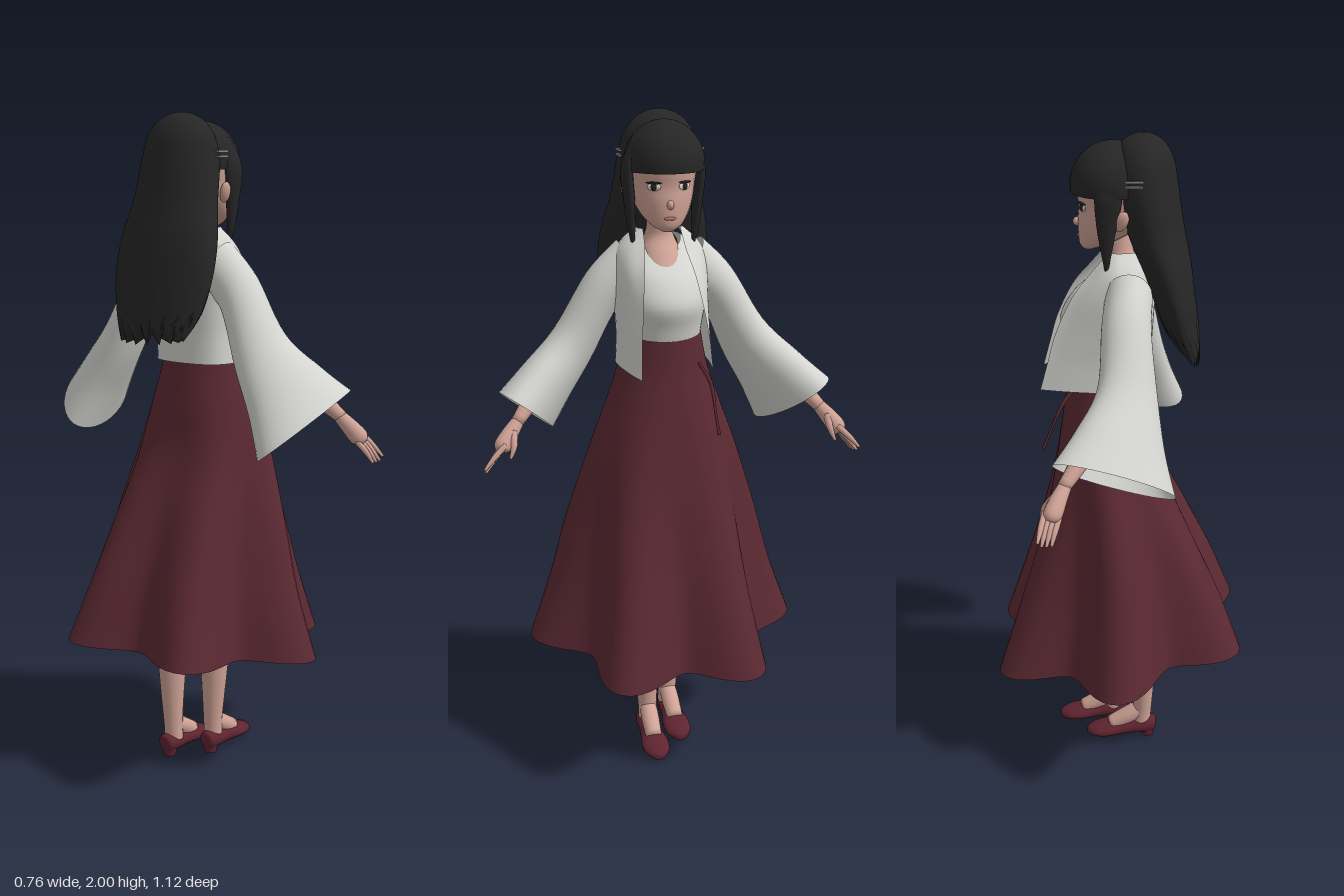
import * as THREE from 'three';

const mat = (name, color, double) => {
  const m = new THREE.MeshStandardMaterial({ color });
  m.name = name;
  if (double) m.side = THREE.DoubleSide;
  return m;
};
const V = (x, y, z) => new THREE.Vector3(x, y, z);

// Catmull-Rom smoothing of rows of numbers
function smooth(rows, steps = 5) {
  const out = [], at = i => rows[Math.max(0, Math.min(rows.length - 1, i))];
  for (let i = 0; i < rows.length - 1; i++) {
    for (let k = 0; k < steps; k++) {
      const t = k / steps;
      out.push(rows[i].map((b, j) => {
        const a = at(i - 1)[j], c = at(i + 1)[j], d = at(i + 2)[j];
        return b + 0.5 * t * (c - a + t * (2 * a - 5 * b + 4 * c - d + t * (3 * (b - c) + d - a)));
      }));
    }
  }
  out.push(rows[rows.length - 1]);
  return out;
}

// Skin through rings of points; closed rings share their seam vertex
function loft(rings, closed = true, caps = true) {
  const n = rings[0].length, pos = [], idx = [];
  rings.forEach(r => r.forEach(p => pos.push(p.x, p.y, p.z)));
  for (let i = 0; i < rings.length - 1; i++) {
    for (let j = 0; j < (closed ? n : n - 1); j++) {
      const a = i * n + j, b = i * n + (j + 1) % n;
      idx.push(a, a + n, b, b, a + n, b + n);
    }
  }
  if (closed && caps) {
    [0, rings.length - 1].forEach((ri, end) => {
      const c = rings[ri].reduce((s, p) => s.add(p), V(0, 0, 0)).divideScalar(n);
      const ci = pos.length / 3;
      pos.push(c.x, c.y, c.z);
      for (let j = 0; j < n; j++) {
        const a = ri * n + j, b = ri * n + (j + 1) % n;
        end ? idx.push(ci, b, a) : idx.push(ci, a, b);
      }
    });
  }
  const g = new THREE.BufferGeometry();
  g.setAttribute('position', new THREE.Float32BufferAttribute(pos, 3));
  g.setIndex(idx);
  g.computeVertexNormals();
  return g;
}

// Ring around centre c spanned by half-axes A and B
const ring = (c, A, B, n = 24) => Array.from({ length: n }, (_, i) => {
  const t = i / n * Math.PI * 2;
  return c.clone().addScaledVector(A, Math.cos(t)).addScaledVector(B, Math.sin(t));
});
const level = (y, cx, cz, rx, rz, n) => ring(V(cx, y, cz), V(rx, 0, 0), V(0, 0, rz), n);

// Tapered tube along points
function limb(points, radii, n = 12) {
  const rows = smooth(points.map((p, i) => [p.x, p.y, p.z, radii[i]]), 4);
  const at = i => V(...rows[Math.max(0, Math.min(rows.length - 1, i))].slice(0, 3));
  return loft(rows.map((r, i) => {
    const t = at(i + 1).sub(at(i - 1)).normalize();
    const u = V(1, 0, 0).addScaledVector(t, -t.x);
    if (u.length() < 0.3) u.set(0, 1, 0).addScaledVector(t, -t.y);
    u.normalize();
    const v = u.clone().cross(t);
    return ring(at(i), u.multiplyScalar(r[3]), v.multiplyScalar(r[3]), n);
  }));
}

export function createModel() {
  const root = new THREE.Group();
  const M = {
    hair: mat('black hair', 0x262626, true), skin: mat('skin', 0xd0a396),
    white: mat('white cloth', 0xd4d4d0, true), red: mat('dark red cloth', 0x5b2932, true),
    shoe: mat('red leather', 0x5f2430), dark: mat('eye dark', 0x2a2020),
    eye: mat('eye white', 0xdedad6), lip: mat('lips', 0xb4736c), clip: mat('grey clip', 0x85858a),
  };
  const add = (name, geo, material, parent = root) => {
    const m = new THREE.Mesh(geo, material);
    m.name = name;
    parent.add(m);
    return m;
  };
  const blob = (name, material, p, s, parent) => {
    const m = add(name, new THREE.SphereGeometry(1, 20, 14), material, parent);
    m.position.set(...p);
    m.scale.set(...s);
    return m;
  };

  // Skirt: six folds that deepen towards the hem
  const skirt = smooth([
    [0.40, 0, 0.365, 0.365, 0.17, 1], [0.6, 0, 0.305, 0.315, 0.13, 0.6], [0.8, 0.012, 0.235, 0.275, 0.09, 0.2],
    [1.0, 0.033, 0.168, 0.225, 0.04, 0], [1.15, 0.036, 0.138, 0.175, 0.015, 0], [1.27, 0.036, 0.117, 0.135, 0, 0],
    [1.385, 0.038, 0.105, 0.112, 0, 0]], 6);
  add('skirt', loft(skirt.map(([y, cx, rx, rz, amp, tilt]) => Array.from({ length: 96 }, (_, i) => {
    const t = i / 96 * Math.PI * 2, r = 1 - amp * Math.cos(6 * t);
    const x = cx + rx * r * Math.cos(t);
    return V(x, y - 0.1 * x * tilt, rz * r * Math.sin(t) - 0.008 * tilt);
  })), true, false), M.red);
  add('waistTie', limb([V(0.12, 1.29, -0.09), V(0.165, 1.24, -0.115), V(0.2, 1.16, -0.12), V(0.225, 1.1, -0.125)],
    [0.004, 0.006, 0.004, 0.005], 8), M.red);

  // Shirt, with a neckline that dips at the front
  const shirt = smooth([
    [1.34, 0.038, 0.1, 0.108, 0], [1.4, 0.045, 0.108, 0.115, 0], [1.47, 0.05, 0.122, 0.122, 0],
    [1.55, 0.02, 0.115, 0.122, 0.01], [1.61, -0.01, 0.088, 0.105, 0.025], [1.65, -0.015, 0.06, 0.066, 0.04]]);
  add('shirt', loft(shirt.map(([y, cx, rx, rz, dip]) => {
    const pts = level(y, cx, 0, rx, rz, 40);
    pts.forEach(p => { p.y -= dip * Math.max(0, (p.x - cx) / rx); });
    return pts;
  }), true, false), M.white);

  // Open jacket: each row gives height, back x, side z, front x, front z
  const jacket = smooth([
    [1.28, -0.095, 0.135, 0.23, 0.105], [1.36, -0.095, 0.132, 0.208, 0.1], [1.45, -0.1, 0.136, 0.182, 0.09],
    [1.55, -0.105, 0.14, 0.134, 0.075], [1.62, -0.098, 0.125, 0.078, 0.06], [1.675, -0.075, 0.068, 0.03, 0.055]]);
  add('jacket', loft(jacket.map(([y, xb, zs, xf, zf]) => {
    const half = s => [V(xf, y, zf * s), V(xf * 0.62, y, (zf * 0.35 + zs * 0.65) * s),
      V(xb * 0.1 + 0.01, y, zs * s), V(xb * 0.75, y, zs * 0.75 * s)];
    const pts = [...half(1), V(xb, y, 0), ...half(-1).reverse()];
    return new THREE.CatmullRomCurve3(pts).getPoints(40);
  }), false), M.white);

  // Neck and chest
  add('neck', loft(smooth([
    [1.56, 0.02, 0.085, 0.07], [1.61, 0.0, 0.066, 0.06], [1.645, -0.005, 0.045, 0.045],
    [1.68, 0.0, 0.038, 0.037], [1.75, 0.01, 0.04, 0.04]]).map(([y, cx, rx, rz]) => level(y, cx, 0, rx, rz))), M.skin);

  // Head
  const head = new THREE.Group();
  head.name = 'head';
  head.position.z = -0.004;
  root.add(head);
  add('face', loft(smooth([
    [1.674, 0.07, 0.1, 0.014], [1.69, 0.03, 0.112, 0.042], [1.72, -0.03, 0.116, 0.068], [1.76, -0.08, 0.117, 0.086],
    [1.8, -0.1, 0.114, 0.094], [1.86, -0.11, 0.12, 0.1], [1.93, -0.08, 0.09, 0.07]])
    .map(([y, b, f, rz]) => level(y, (b + f) / 2, 0, (f - b) / 2, rz, 32))), M.skin, head);
  blob('nose', M.skin, [0.117, 1.752, 0], [0.014, 0.013, 0.01], head);
  blob('mouth', M.lip, [0.115, 1.714, 0], [0.004, 0.005, 0.018], head);
  for (const s of [1, -1]) {
    const eye = new THREE.Group();
    eye.name = 'eye';
    eye.position.set(0.1025, 1.802, 0.044 * s);
    eye.rotation.y = -0.47 * s;
    head.add(eye);
    blob('eyeWhite', M.eye, [0, 0, 0], [0.004, 0.011, 0.02], eye);
    blob('iris', M.dark, [0.002, 0, 0], [0.004, 0.011, 0.009], eye);
    blob('lash', M.dark, [0.002, 0.011, 0], [0.004, 0.0035, 0.023], eye);
    const ear = blob('ear', M.skin, [-0.005, 1.775, 0.1 * s], [0.02, 0.032, 0.012], head);
    ear.rotation.set(0.3 * s, 0, 0.3);
    // Side lock and clip
    add('sideLock', loft(smooth([
      [1.62, 0.036, 0.088, 0.003, 0.003], [1.68, 0.036, 0.094, 0.014, 0.011], [1.76, 0.035, 0.1, 0.028, 0.016],
      [1.85, 0.03, 0.104, 0.038, 0.018], [1.93, 0.03, 0.07, 0.02, 0.02]])
      .map(([y, cx, cz, rx, rz]) => level(y, cx, cz * s, rx, rz, 16))), M.hair, head);
    for (const dy of [0, 0.014]) {
      const clip = add('hairClip', new THREE.BoxGeometry(0.05, 0.006, 0.008), M.clip, head);
      clip.position.set(-0.04, 1.876 + dy, 0.122 * s - 0.009);
    }
  }

  // Fringe cap
  const fringe = add('fringe', new THREE.SphereGeometry(1, 36, 20, 0, Math.PI * 2, 0, Math.PI * 0.55), M.hair, head);
  fringe.position.set(0.018, 1.858, -0.006);
  fringe.scale.set(0.12, 0.12, 0.116);

  // Long back hair with ragged tips
  const hair = smooth([
    [1.39, -0.215, 0.022, 0.115, 1], [1.45, -0.182, 0.05, 0.15, 0.45], [1.55, -0.155, 0.064, 0.168, 0],
    [1.65, -0.128, 0.076, 0.162, 0], [1.75, -0.098, 0.085, 0.138, 0], [1.86, -0.072, 0.094, 0.122, 0],
    [1.93, -0.068, 0.084, 0.104, 0], [1.975, -0.066, 0.06, 0.07, 0], [1.995, -0.066, 0.028, 0.032, 0], [2, -0.066, 0.003, 0.003, 0]]);
  add('backHair', loft(hair.map(([y, cx, rx, rz, rag]) => {
    const pts = level(y, cx, -0.015, rx, rz, 64);
    pts.forEach((p, i) => { p.y += rag * (0.016 * (i % 4 - 2) + 0.012 * Math.sin(i * 1.7)); });
    return pts;
  })), M.hair);

  for (const s of [1, -1]) {
    // The arm on the -z side reaches further forward
    const P = (x, y, z) => V(x + (s < 0 ? 0.06 * Math.max(0, Math.min(1.2, (z - 0.1) / 0.3)) : 0), y,
      s * z - (s < 0 ? 0.015 : 0));

    // Wide sleeve: centre, front-back half-axis, up-down half-axis
    const sleeve = smooth([
      [-0.025, 1.56, 0.085, 0.068, 0, 0, 0, 0.075, 0.035], [-0.032, 1.49, 0.165, 0.07, 0.005, 0, 0, 0.052, 0.045],
      [-0.052, 1.33, 0.252, 0.085, 0.02, 0.01, 0, 0.05, 0.055], [-0.048, 1.22, 0.335, 0.125, 0.042, 0.02, 0, 0.055, 0.068],
      [-0.045, 1.132, 0.4, 0.17, 0.065, 0.03, 0, 0.06, 0.08]], 6);
    add('sleeve', loft(sleeve.map(([x, y, z, ax, ay, az, bx, by, bz]) =>
      ring(P(x, y, z), V(ax, ay, az * s), V(bx, by, bz * s), 36)), true, false), M.white);

    // Forearm and hand
    const arm = new THREE.Group();
    arm.name = 'arm';
    root.add(arm);
    add('forearm', limb([P(-0.03, 1.45, 0.18), P(-0.02, 1.32, 0.27), P(0.04, 1.21, 0.38), P(0.085, 1.14, 0.445)],
      [0.035, 0.034, 0.028, 0.019]), M.skin, arm);
    add('palm', limb([P(0.08, 1.147, 0.438), P(0.095, 1.115, 0.465), P(0.112, 1.08, 0.492), P(0.118, 1.066, 0.5)],
      [0.018, 0.024, 0.027, 0.016]), M.skin, arm);
    for (let f = 0; f < 4; f++) {
      const k = f - 1.5, len = 1 - 0.08 * Math.abs(k - 0.3);
      const bx = 0.113 + k * 0.012, by = 1.08 + k * 0.006;
      add('finger', limb([P(bx, by, 0.49 - k * 0.003), P(bx + 0.012 * len, by - 0.035 * len, 0.52),
        P(bx + 0.022 * len, by - 0.072 * len, 0.545 + k * 0.004)], [0.0095, 0.0085, 0.004], 8), M.skin, arm);
    }
    add('thumb', limb([P(0.105, 1.12, 0.46), P(0.133, 1.085, 0.462), P(0.145, 1.05, 0.475)],
      [0.012, 0.01, 0.004], 8), M.skin, arm);

    // Leg; the foot on the +z side steps forward
    const x = s > 0 ? 0.018 : -0.075, z = 0.05 * s;
    add('leg', limb([V(x + 0.012, 0.8, z * 1.1), V(x + 0.008, 0.5, z * 1.08), V(x, 0.34, z), V(x - 0.003, 0.2, z * 0.95),
      V(x - 0.003, 0.1, z * 0.9), V(x, 0.05, z * 0.9)], [0.065, 0.05, 0.047, 0.037, 0.03, 0.03], 20), M.skin);
    add('instep', limb([V(x, 0.105, z * 0.9), V(x + 0.04, 0.078, z * 0.92), V(x + 0.1, 0.042, z * 0.95)],
      [0.026, 0.029, 0.026], 16), M.skin);
    // Low shoe with a small heel
    const shoe = smooth([
      [-0.048, 0.05, 0.014, 0.012], [-0.04, 0.045, 0.028, 0.026], [-0.005, 0.042, 0.03, 0.034], [0.05, 0.034, 0.026, 0.034],
      [0.11, 0.026, 0.024, 0.044], [0.15, 0.021, 0.019, 0.04], [0.175, 0.016, 0.014, 0.022], [0.183, 0.014, 0.008, 0.006]]);
    add('shoe', loft(shoe.map(([dx, y, h, w]) =>
      ring(V(x + dx, y, z * 0.95), V(0, h, 0), V(0, 0, -w), 20))), M.shoe);
    const heel = add('shoeHeel', new THREE.CylinderGeometry(0.025, 0.02, 0.03, 16), M.shoe);
    heel.position.set(x - 0.02, 0.015, z * 0.95);
  }
  return root;
}
